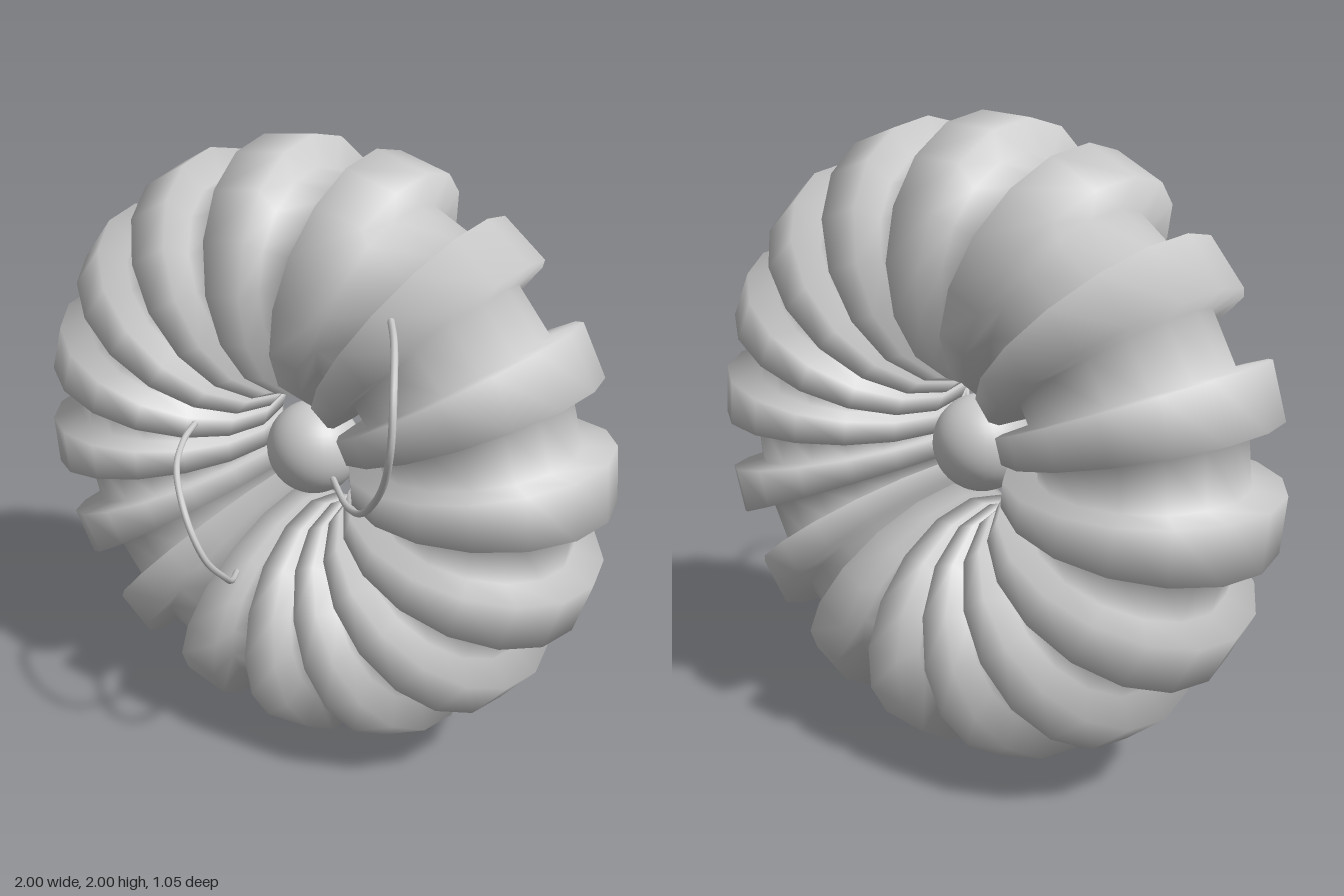
import * as THREE from 'three';

const CENTER = [0, 1, -0.125];
const TEETH = 16, SIDES = 16;
const RING = 0.6, TUBE = 0.3, RAISE = 0.1;

const material = new THREE.MeshStandardMaterial({ color: 0xcccccc });

function add(group, name, geometry) {
  const mesh = new THREE.Mesh(geometry, material);
  mesh.name = name;
  group.add(mesh);
  return mesh;
}

// Ring whose alternate sectors are pushed straight out into ribs
function ribbedRing() {
  const pos = [], index = [];
  const half = Math.PI / TEETH;

  // One cross-section at angle a, shifted outward along the rib's middle direction
  const section = (a, mid, raise) => {
    for (let j = 0; j < SIDES; j++) {
      const p = (j / SIDES) * Math.PI * 2;
      const r = RING + TUBE * Math.cos(p), out = raise * Math.cos(p);
      pos.push(
        r * Math.cos(a) + out * Math.cos(mid),
        r * Math.sin(a) + out * Math.sin(mid),
        (TUBE + raise) * Math.sin(p)
      );
    }
  };

  for (let k = 0; k < TEETH; k++) {
    const a0 = Math.PI / 2 + k * 2 * half, a1 = a0 + half, mid = a0 + half / 2;
    section(a0, mid, 0);
    section(a0, mid, RAISE);
    section(a1, mid, RAISE);
    section(a1, mid, 0);
  }

  const rings = TEETH * 4;
  for (let i = 0; i < rings; i++) {
    for (let j = 0; j < SIDES; j++) {
      const i2 = (i + 1) % rings, j2 = (j + 1) % SIDES;
      const a = i * SIDES + j, b = i2 * SIDES + j;
      const c = i2 * SIDES + j2, d = i * SIDES + j2;
      index.push(a, b, c, a, c, d);
    }
  }

  const geometry = new THREE.BufferGeometry();
  geometry.setAttribute('position', new THREE.Float32BufferAttribute(pos, 3));
  geometry.setIndex(index);
  geometry.computeVertexNormals();
  return geometry;
}

// Thin bent wire through a few points
function wire(points) {
  const curve = new THREE.CatmullRomCurve3(points.map(p => new THREE.Vector3(...p)));
  return new THREE.TubeGeometry(curve, 48, 0.01, 8, false);
}

export function createModel() {
  const group = new THREE.Group();
  group.name = 'ribbedRingModel';

  add(group, 'ribbedRing', ribbedRing()).position.set(...CENTER);
  add(group, 'centerBall', new THREE.SphereGeometry(0.153, 32, 20)).position.set(...CENTER);

  // Wire loops on the front face
  add(group, 'upperWireLoop', wire([
    [0.47, 1.61, 0.23], [0.56, 1.6, 0.37], [0.63, 1.52, 0.49], [0.645, 1.4, 0.52],
    [0.6, 1.26, 0.47], [0.5, 1.12, 0.37], [0.4, 1.03, 0.26], [0.28, 0.97, 0.13], [0.14, 0.96, -0.02]
  ]));
  add(group, 'lowerWireLoop', wire([
    [-0.23, 1.14, 0.2], [-0.19, 1.13, 0.31], [-0.13, 1.09, 0.42], [-0.03, 0.98, 0.5],
    [0.02, 0.87, 0.49], [0.015, 0.76, 0.39], [-0.04, 0.68, 0.28], [-0.1, 0.645, 0.17]
  ]));

  return group;
}
